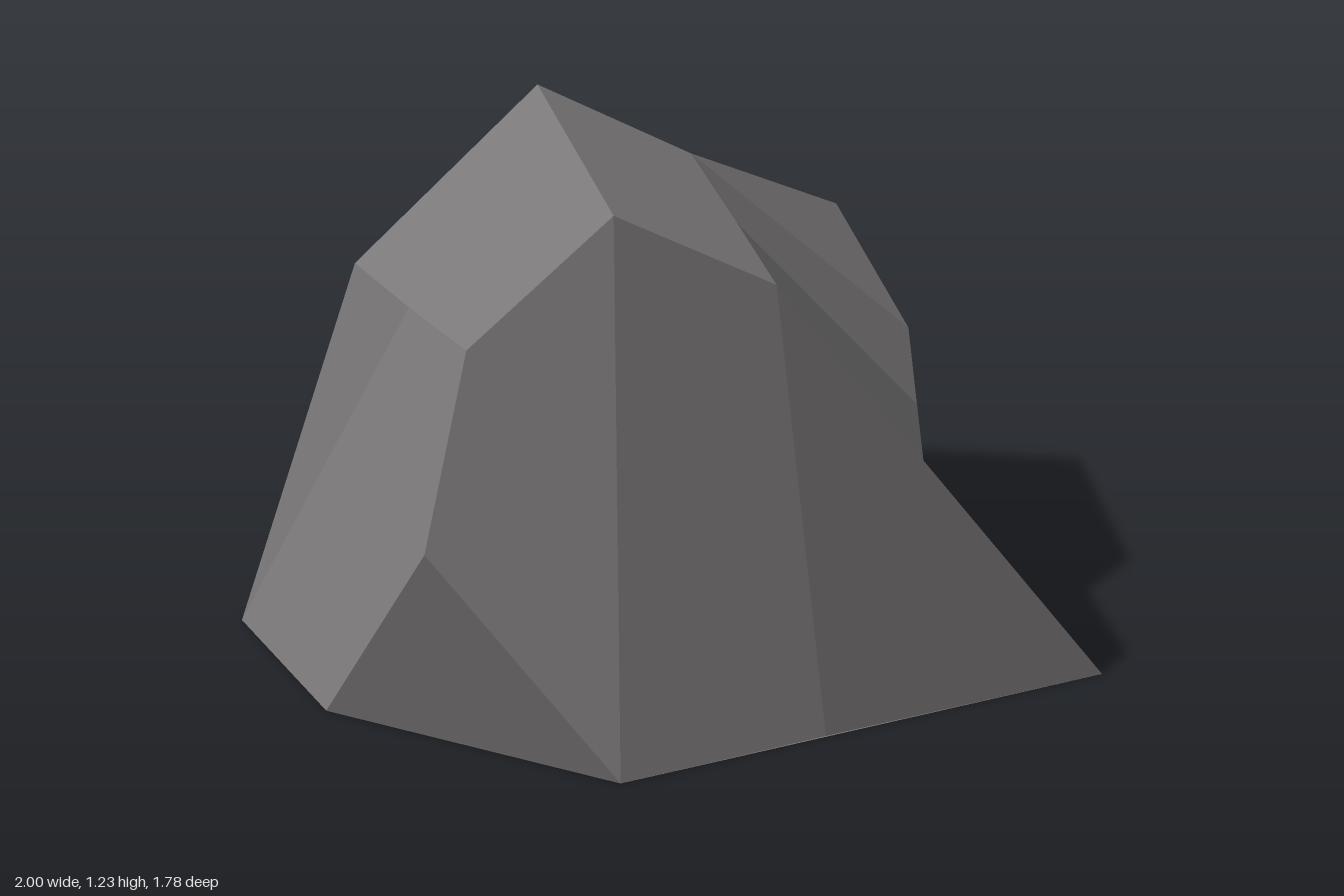
import * as THREE from 'three';

// Corner points of the boulder, by ring
const P = {
  // footprint on the ground
  baseRight: [1, 0, -0.52], baseFront: [0.525, 0, 0.89], baseMid: [-0.18, 0, 0.76],
  baseLeft: [-0.71, 0, 0.67], baseSide: [-0.91, 0, -0.09], baseBackL: [-0.69, 0, -0.62],
  baseBack: [-0.07, 0, -0.89],
  // shoulder
  bulge: [-1, 0.525, 0.34], shoulderL: [-0.84, 0.96, 0.3], shoulderMid: [-0.54, 0.825, -0.23],
  shoulderBack: [-0.23, 0.69, -0.76], shoulderR: [0.765, 0.715, -0.27],
  // crown
  crownFront: [-0.5, 1.225, 0.41], crownBack: [-0.105, 1.225, -0.29],
  rimFront: [-0.18, 1.03, 0.595], rimMid: [0, 1.03, 0.26], rimBack: [0.2, 1.03, -0.12],
  // foot of the chipped hollow
  chipFront: [0.405, 0.36, 0.435], chipMid: [0.45, 0.505, 0.355], chipBack: [0.5, 0.65, 0.27],
};

// Facets, counter-clockwise from outside; each is fanned from its first corner
const FACETS = [
  // front and left
  ['baseLeft', 'baseMid', 'rimFront', 'crownFront'],
  ['rimFront', 'baseMid', 'baseFront', 'chipFront'],
  ['baseLeft', 'crownFront', 'shoulderL', 'bulge'],
  ['baseSide', 'baseLeft', 'bulge'],
  ['baseBackL', 'baseSide', 'bulge', 'shoulderL', 'shoulderMid'],
  // back and right
  ['baseBackL', 'shoulderMid', 'shoulderBack', 'baseBack'],
  ['baseRight', 'baseBack', 'shoulderBack', 'shoulderR'],
  ['baseRight', 'shoulderR', 'chipBack', 'chipMid', 'chipFront', 'baseFront'],
  // top slopes
  ['rimBack', 'shoulderR', 'shoulderBack', 'crownBack'],
  ['crownBack', 'shoulderBack', 'shoulderMid', 'shoulderL', 'crownFront'],
  ['crownFront', 'rimFront', 'rimMid', 'rimBack', 'crownBack'],
  // chipped hollow
  ['chipFront', 'chipMid', 'rimMid', 'rimFront'],
  ['rimMid', 'chipMid', 'chipBack', 'rimBack'],
  ['rimBack', 'chipBack', 'shoulderR'],
  // underside
  ['baseFront', 'baseMid', 'baseLeft', 'baseSide', 'baseBackL', 'baseBack', 'baseRight'],
];

// Each facet has one shared normal, so slightly bent facets still shade as one flat cut
function facetGeometry(points, facets) {
  const positions = [];
  const normals = [];
  for (const facet of facets) {
    const [first, ...rest] = facet.map((name) => new THREE.Vector3(...points[name]));
    const normal = new THREE.Vector3();
    for (let i = 0; i < rest.length - 1; i++) {
      const a = rest[i];
      const b = rest[i + 1];
      positions.push(...first, ...a, ...b);
      normal.add(a.clone().sub(first).cross(b.clone().sub(first)));
    }
    normal.normalize();
    for (let i = 0; i < (rest.length - 1) * 3; i++) normals.push(...normal);
  }
  const geometry = new THREE.BufferGeometry();
  geometry.setAttribute('position', new THREE.Float32BufferAttribute(positions, 3));
  geometry.setAttribute('normal', new THREE.Float32BufferAttribute(normals, 3));
  return geometry;
}

export function createModel() {
  const stone = new THREE.MeshStandardMaterial({ color: 0x7d7a7b });
  stone.name = 'stoneGrey';

  const boulder = new THREE.Mesh(facetGeometry(P, FACETS), stone);
  boulder.name = 'boulder';

  const group = new THREE.Group();
  group.name = 'rock';
  group.add(boulder);
  return group;
}
